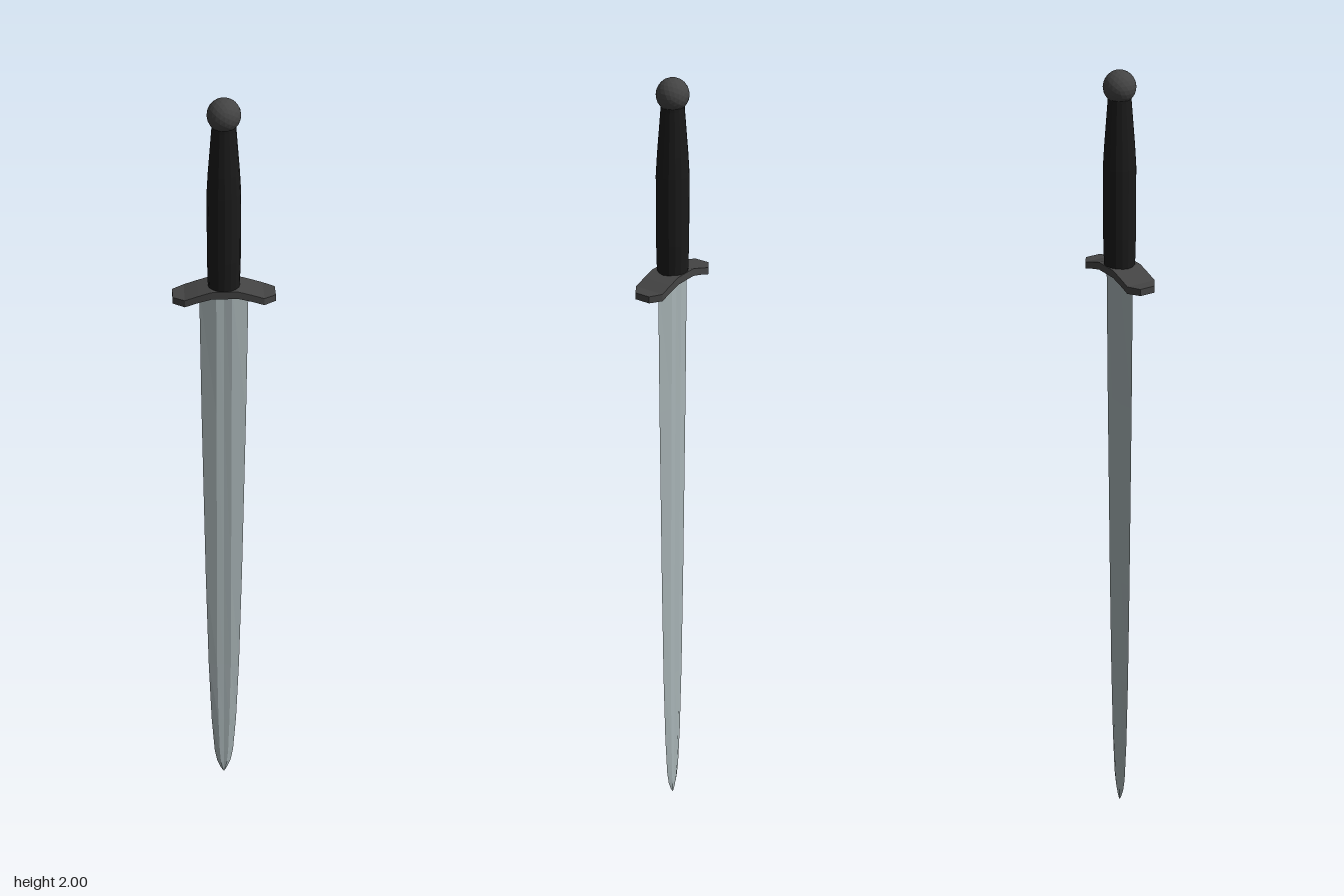
import * as THREE from 'three';

const paint = (color, flat = true) =>
  new THREE.MeshStandardMaterial({ color, flatShading: flat });

// Skin a list of cross-section rings (each counter-clockwise about the path) and cap both ends
function loft(rings) {
  const n = rings[0].length, index = [];
  for (let s = 0; s < rings.length - 1; s++) {
    for (let i = 0; i < n; i++) {
      const a = s * n + i, b = s * n + (i + 1) % n;
      index.push(a, b, a + n, b, b + n, a + n);
    }
  }
  const last = (rings.length - 1) * n;
  for (let i = 1; i < n - 1; i++) {
    index.push(0, i + 1, i, last, last + i, last + i + 1);
  }
  const g = new THREE.BufferGeometry();
  g.setAttribute('position', new THREE.Float32BufferAttribute(rings.flat(2), 3));
  g.setIndex(index);
  g.computeVertexNormals();
  return g;
}

export function createModel() {
  const model = new THREE.Group();
  const add = (name, geometry, material) => {
    const mesh = new THREE.Mesh(geometry, material);
    mesh.name = name;
    model.add(mesh);
    return mesh;
  };

  // Blade: bevelled edges around a shallow central groove; [y, half width, half thickness]
  const bladeStations = [
    [0, 0.001, 0.001], [0.015, 0.009, 0.003], [0.04, 0.018, 0.005],
    [0.08, 0.025, 0.006], [0.2, 0.033, 0.007], [0.4, 0.040, 0.007],
    [0.7, 0.046, 0.008], [1.2, 0.053, 0.010], [1.54, 0.056, 0.012],
  ];
  add('blade', loft(bladeStations.map(([y, w, t]) => {
    const r = Math.min(0.018, w * 0.45), groove = t * 0.8;
    return [
      [w, y, 0], [r, y, -t], [0, y, -groove], [-r, y, -t],
      [-w, y, 0], [-r, y, t], [0, y, groove], [r, y, t],
    ];
  })), paint(0xa9b5b7));

  // Crossguard: drooping arms with clipped corners; [x, top, bottom, half depth]
  const arm = [
    [0.03, 1.55, 1.532, 0.037], [0.06, 1.541, 1.524, 0.037],
    [0.09, 1.531, 1.514, 0.037], [0.117, 1.53, 1.514, 0.019],
  ];
  const guardStations = [
    ...arm.map(([x, ...rest]) => [-x, ...rest]).reverse(), ...arm,
  ];
  add('crossguard', loft(guardStations.map(([x, top, bottom, d]) => [
    [x, top, d], [x, bottom, d], [x, bottom, -d], [x, top, -d],
  ])), paint(0x444444));

  // Grip: straight near the guard, tapering to the pommel
  const gripProfile = [
    [0, 1.535], [0.036, 1.535], [0.038, 1.62], [0.038, 1.78],
    [0.035, 1.83], [0.027, 1.93], [0.026, 1.95], [0, 1.95],
  ].map(([r, y]) => new THREE.Vector2(r, y));
  add('grip', new THREE.LatheGeometry(gripProfile, 16), paint(0x1a1a1a));

  // Pommel: faceted ball
  add('pommel', new THREE.IcosahedronGeometry(0.037, 3), paint(0x444444))
    .position.y = 1.963;

  return model;
}
